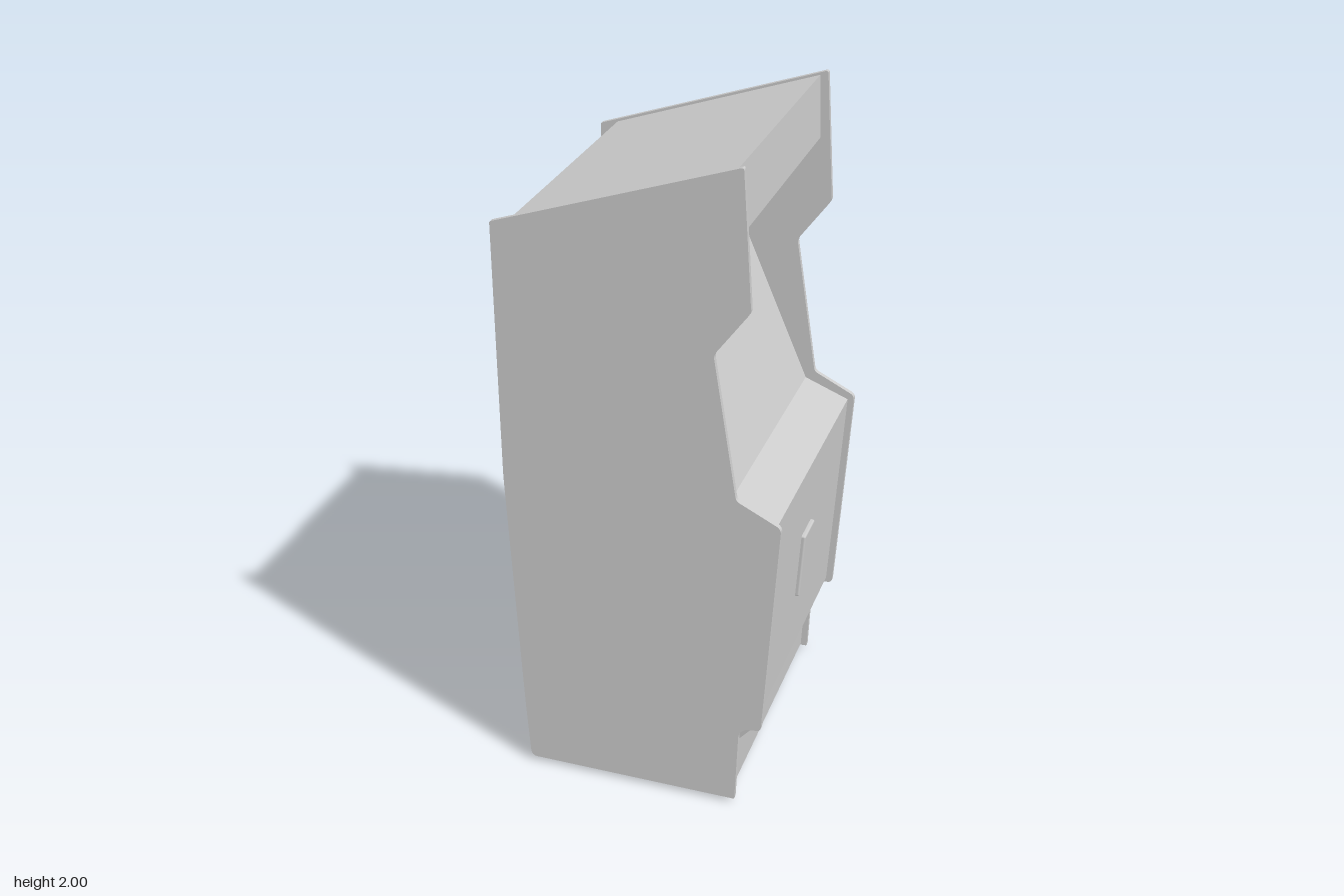
import * as THREE from 'three';
import { RoundedBoxGeometry } from 'three/addons/geometries/RoundedBoxGeometry.js';

const HALF_WIDTH = 0.42;
const BOARD = 0.015;
const INNER_WIDTH = 2 * (HALF_WIDTH - BOARD);

// Side board outline as [x, y, corner radius], counterclockwise
const OUTLINE = [
  [0.285, 0.015, 0.004], [0.295, 0.262, 0.015], [0.315, 0.28, 0.012], [0.361, 0.285, 0.012],
  [0.406, 0.98, 0.015], [0.277, 1.045, 0.012], [0.21, 1.475, 0.01], [0.31, 1.61, 0.012],
  [0.285, 2.0, 0.008], [-0.41, 1.77, 0.004], [-0.41, 1.0, 0.02], [-0.377, 0.2, 0.01],
  [-0.366, 0.015, 0.02],
];

// Panels between the side boards: each runs from its point to the next
const PANELS = [
  ['kickPanel', 0.265, 0.02],
  ['frontUnderside', 0.275, 0.21],
  ['frontLip', 0.335, 0.28],
  ['frontPanel', 0.342, 0.30],
  ['controlPanel', 0.386, 0.965],
  ['screenPanel', 0.25, 1.02],
  ['marqueeUnderside', -0.04, 1.70],
  ['marquee', 0.269, 1.80],
  ['topPanel', 0.262, 1.985],
  ['upperBackPanel', -0.356, 1.78],
  ['lowerBackPanel', -0.356, 1.0],
  ['floorPanel', -0.342, 0.02],
];

function roundedShape(outline) {
  const shape = new THREE.Shape();
  const points = outline.map(([x, y]) => new THREE.Vector2(x, y));
  points.forEach((p, i) => {
    const prev = points[(i + points.length - 1) % points.length];
    const next = points[(i + 1) % points.length];
    const r = outline[i][2];
    const a = p.clone().add(prev.clone().sub(p).setLength(r));
    const b = p.clone().add(next.clone().sub(p).setLength(r));
    if (i === 0) shape.moveTo(a.x, a.y);
    else shape.lineTo(a.x, a.y);
    shape.quadraticCurveTo(p.x, p.y, b.x, b.y);
  });
  shape.closePath();
  return shape;
}

export function createModel() {
  const model = new THREE.Group();
  model.name = 'arcadeCabinet';
  const grey = new THREE.MeshStandardMaterial({ color: 0xcccccc });
  const thin = new THREE.MeshStandardMaterial({ color: 0xcccccc, side: THREE.DoubleSide });

  const add = (name, geometry, material = grey) => {
    const mesh = new THREE.Mesh(geometry, material);
    mesh.name = name;
    model.add(mesh);
    return mesh;
  };

  // Side boards
  const board = new THREE.ExtrudeGeometry(roundedShape(OUTLINE), {
    depth: BOARD, bevelEnabled: false, curveSegments: 4,
  });
  add('rightSideBoard', board).position.z = HALF_WIDTH - BOARD;
  add('leftSideBoard', board).position.z = -HALF_WIDTH;

  // Panels spanning the two boards
  PANELS.forEach(([name, x, y], i) => {
    const [, nx, ny] = PANELS[(i + 1) % PANELS.length];
    const dx = nx - x, dy = ny - y;
    const geometry = new THREE.PlaneGeometry(INNER_WIDTH, Math.hypot(dx, dy)).rotateY(Math.PI / 2);
    const panel = add(name, geometry, thin);
    panel.rotation.z = Math.atan2(-dx, dy);
    panel.position.set((x + nx) / 2, (y + ny) / 2, 0);
  });

  // Base plinth
  add('base', new THREE.BoxGeometry(0.585, 0.02, 0.8)).position.set(-0.0625, 0.01, 0);

  // Coin door, lying on the sloped front panel
  const door = add('coinDoor', new RoundedBoxGeometry(0.024, 0.215, 0.108, 2, 0.006));
  door.position.set(0.364, 0.628, 0);
  door.rotation.z = Math.atan2(-0.044, 0.665);

  return model;
}
